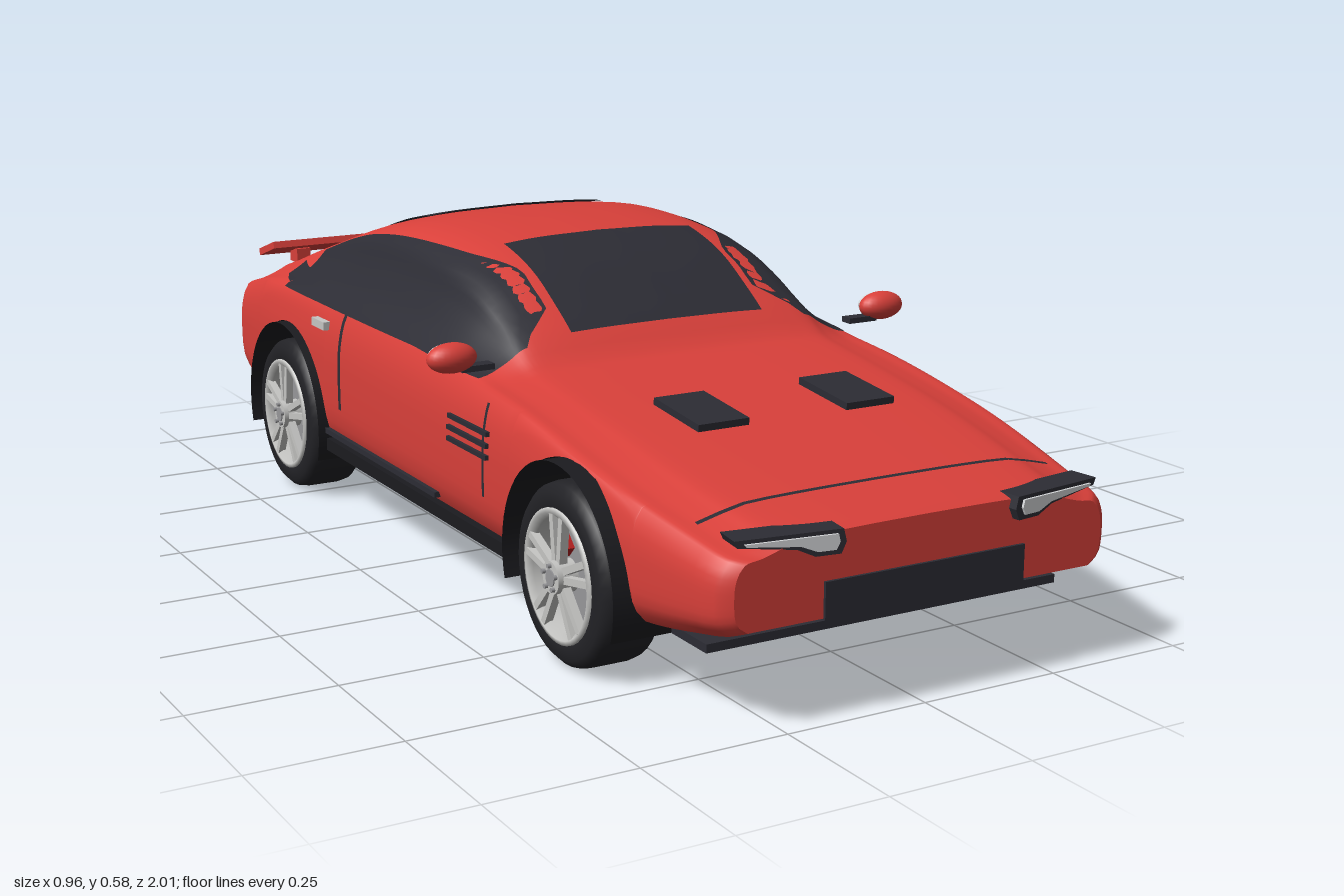
import * as THREE from 'three';

const mat = (name, color, side = THREE.FrontSide) => {
  const m = new THREE.MeshStandardMaterial({ color, side });
  m.name = name;
  return m;
};
const paint = mat('red paint', 0xd9403a), trim = mat('dark trim', 0x2c2c34, THREE.DoubleSide);
const rubber = mat('tyre rubber', 0x222226), under = mat('underbody black', 0x1b1b1f, THREE.DoubleSide);
const alloy = mat('alloy', 0xc6c6c4, THREE.DoubleSide), steel = mat('steel', 0x97979a);
const caliperRed = mat('caliper red', 0xb81f1f), lens = mat('clear lens', 0xd4d6d8);

// Smooth interpolation through [z, value] pairs, z ascending
function interp(t, z) {
  let i = 0;
  while (i < t.length - 2 && z > t[i + 1][0]) i++;
  const slope = (a, b) => (t[b][1] - t[a][1]) / (t[b][0] - t[a][0]);
  const d = t[i + 1][0] - t[i][0], u = Math.min(1, Math.max(0, (z - t[i][0]) / d));
  const m0 = slope(Math.max(0, i - 1), i + 1), m1 = slope(i, Math.min(t.length - 1, i + 2));
  const u2 = u * u, u3 = u2 * u;
  return (2 * u3 - 3 * u2 + 1) * t[i][1] + (u3 - 2 * u2 + u) * d * m0
    + (3 * u2 - 2 * u3) * t[i + 1][1] + (u3 - u2) * d * m1;
}
const TOP = [[-0.955, 0.385], [-0.9, 0.4], [-0.8, 0.43], [-0.6, 0.5], [-0.5, 0.535], [-0.4, 0.563], [-0.3, 0.58],
  [-0.2, 0.584], [-0.1, 0.58], [0, 0.567], [0.1, 0.535], [0.19, 0.482], [0.24, 0.447], [0.28, 0.412], [0.34, 0.4],
  [0.4, 0.392], [0.6, 0.365], [0.8, 0.333], [0.9, 0.317], [0.99, 0.304]];
const BELT = [[-0.955, 0.345], [-0.7, 0.395], [-0.4, 0.405], [0, 0.398], [0.2, 0.388], [0.4, 0.372], [0.6, 0.342], [0.8, 0.306], [0.99, 0.272]];
const WIDTH = [[-0.955, 0.368], [-0.7, 0.4], [-0.4, 0.405], [0.4, 0.405], [0.7, 0.4], [0.99, 0.362]];
const FLOOR = [[-0.955, 0.168], [-0.75, 0.13], [-0.4, 0.128], [0.4, 0.128], [0.77, 0.128], [0.99, 0.162]];
const ARCH = [-0.565, 0.595], ARCH_R = 0.187, AXLE_Y = 0.153, Z0 = -0.955, Z1 = 0.99;

// Half cross-section curve; parameter 0.4 is the belt line
function curveAt(z) {
  const w = interp(WIDTH, z), b = interp(BELT, z), f = interp(FLOOR, z), h = interp(TOP, z) - b;
  const low = [[0.93, 0], [0.985, 0.15], [1, 0.5], [0.99, 0.8]].map(p => [p[0], f + p[1] * (b - f)]);
  const high = [[0.95, 0], [0.863, 0.2], [0.775, 0.49], [0.71, 0.76], [0.6, 0.89], [0.375, 0.97], [0, 1]].map(p => [p[0], b + p[1] * h]);
  return new THREE.CatmullRomCurve3([...low, ...high].map(p => new THREE.Vector3(p[0] * w, p[1], z)));
}
function lookup(z, key, value, out) {
  const c = curveAt(z), pts = Array.from({ length: 81 }, (_, i) => c.getPoint(i / 80));
  if (key === 'x') pts.reverse();
  let i = 0;
  while (i < 79 && pts[i + 1][key] < value) i++;
  const a = pts[i], b = pts[i + 1], u = Math.min(1, Math.max(0, (value - a[key]) / (b[key] - a[key] || 1)));
  return a[out] + (b[out] - a[out]) * u;
}
const sideX = (y, z) => lookup(z, 'y', y, 'x');
const topY = (x, z) => lookup(z, 'x', Math.abs(x), 'y');

// Surface from rows of [x, y, z] points
function grid(rows) {
  const n = rows[0].length, idx = [];
  for (let r = 0; r < rows.length - 1; r++) for (let c = 0; c < n - 1; c++) {
    const a = r * n + c;
    idx.push(a, a + 1, a + n, a + 1, a + n + 1, a + n);
  }
  const g = new THREE.BufferGeometry();
  g.setAttribute('position', new THREE.Float32BufferAttribute(rows.flat(2), 3));
  g.setIndex(idx);
  g.computeVertexNormals();
  return g;
}
const range = (a, b, n) => Array.from({ length: n + 1 }, (_, i) => a + (b - a) * i / n);

// Half section clipped by the wheel arches and tucked in at both ends
function halfSection(z) {
  let f = interp(FLOOR, z);
  for (const c of ARCH) if (Math.abs(z - c) <= ARCH_R) f = Math.max(f, AXLE_Y + Math.sqrt(ARCH_R ** 2 - (z - c) ** 2));
  const b = interp(BELT, z), c = curveAt(z);
  const pts = range(Math.min(f, b - 0.004), b, 10).slice(0, -1).map(y => [sideX(y, z), y, z]);
  for (const t of range(0.4, 1, 24)) { const p = c.getPoint(t); pts.push([p.x, p.y, z]); }
  const e = Math.max(0, (Z0 + 0.035 - z) / 0.035, (z - Z1 + 0.035) / 0.035), s = 1 - 0.06 * e * e;
  return pts.map(([x, y]) => [x * s, 0.25 + (y - 0.25) * s, z]);
}

export function createModel() {
  const car = new THREE.Group();
  car.name = 'sportsCar';
  const add = (name, geo, m, x = 0, y = 0, z = 0, parent = car) => {
    const mesh = new THREE.Mesh(geo, m);
    mesh.name = name;
    mesh.position.set(x, y, z);
    parent.add(mesh);
    return mesh;
  };
  const box = (name, w, h, d, m, x, y, z, parent) => add(name, new THREE.BoxGeometry(w, h, d), m, x, y, z, parent);

  // Body shell, floor and end panels
  let zs = range(Z0, Z1, 90).filter(z => ARCH.every(c => Math.abs(z - c) > ARCH_R + 0.004));
  for (const c of ARCH) {
    for (const a of range(0, Math.PI, 32)) zs.push(c + ARCH_R * Math.cos(a));
    zs.push(c - ARCH_R - 0.0006, c + ARCH_R + 0.0006);
  }
  for (const d of [0.004, 0.009, 0.015]) zs.push(Z0 + d, Z1 - d);
  zs.sort((a, b) => a - b);
  const halves = zs.map(halfSection);
  const flip = ([x, y, z]) => [-x, y, z];
  add('bodyShell', grid(halves.map(h => [...h, ...h.slice(0, -1).reverse().map(flip)])), paint);
  add('floor', grid(halves.map(h => range(-1, 1, 4).map(u => [u * h[0][0], h[0][1], h[0][2]]))), under);
  add('nosePanel', grid(halves[halves.length - 1].map(p => [flip(p), p])), paint);
  add('tailPanel', grid(halves[0].map(p => [p, flip(p)])), paint);

  // Panels lying on the upper surface
  const topPatch = (name, x0, x1, z0, z1, m, lift = 0.004) => add(name, grid(range(z0, z1, 16).map(z =>
    range(x1, x0, 16).map(x => [x, topY(x, z) + lift, z]))), m);
  topPatch('windscreen', -0.195, 0.195, -0.02, 0.235, trim);
  topPatch('rearWindow', -0.195, 0.195, -0.7, -0.34, trim);
  topPatch('bonnetSeam', -0.33, 0.33, 0.864, 0.872, trim, 0.003);

  const WIN_TOP = [[-0.62, 0.468], [-0.5, 0.508], [-0.4, 0.532], [-0.25, 0.55], [-0.05, 0.552], [0.07, 0.537], [0.17, 0.488], [0.24, 0.435]];
  const lampShape = pts => new THREE.Shape(pts.map(p => new THREE.Vector2(...p)));
  const lampBody = lampShape([[-0.09, -0.008], [-0.082, -0.026], [-0.04, -0.026], [-0.01, -0.012], [0.085, 0.001], [0.09, 0.012], [-0.085, 0.012]]);
  const lampGlass = lampShape([[-0.078, -0.006], [-0.072, -0.018], [-0.042, -0.018], [-0.015, -0.007], [0.072, 0.002], [0.075, 0.006], [-0.075, 0.006]]);

  for (const s of [1, -1]) {
    const tag = s > 0 ? 'left' : 'right';
    const sidePatch = (name, z0, z1, lo, hi) => add(name, grid(range(z0, z1, 40).map(z => {
      const row = range(lo(z), hi(z), 12).map(y => [s * (sideX(y, z) + 0.004), y, z]);
      return s > 0 ? row : row.reverse();
    })), trim);
    const sideBox = (name, y, z, h, d, m, t = 0.012) => box(name, t, h, d, m, s * sideX(y, z), y, z);

    // Side glass, seams, vents and sill
    sidePatch(tag + 'SideWindow', -0.62, 0.24, z => 0.402 - 0.04 * Math.max(0, z), z => interp(WIN_TOP, z));
    sidePatch(tag + 'WindowTail', -0.7, -0.62, () => 0.41, () => 0.434);
    sidePatch(tag + 'DoorSeam', -0.302, -0.29, () => 0.22, () => 0.402);
    sidePatch(tag + 'WingSeam', 0.315, 0.323, () => 0.21, () => 0.37);
    for (const y of [0.28, 0.3, 0.32]) sideBox(tag + 'SideVent', y, 0.258, 0.008, 0.15, trim);
    sideBox(tag + 'DoorHandle', 0.369, -0.395, 0.016, 0.06, alloy, 0.024);
    box(tag + 'Sill', 0.03, 0.024, 0.82, under, s * 0.388, 0.132, 0);
    box(tag + 'SillStrip', 0.012, 0.01, 0.52, trim, s * 0.4, 0.16, -0.14);

    // Door mirror
    const mirror = new THREE.SphereGeometry(1, 24, 16);
    mirror.scale(0.045, 0.026, 0.026);
    add(tag + 'Mirror', mirror, paint, s * 0.437, 0.44, 0.265);
    box(tag + 'MirrorArm', 0.06, 0.01, 0.025, trim, s * 0.392, 0.419, 0.262);
    const glass = new THREE.SphereGeometry(1, 24, 12);
    glass.scale(0.035, 0.02, 0.008);
    add(tag + 'MirrorGlass', glass, lens, s * 0.437, 0.44, 0.243);

    // Bonnet vent
    const vent = box(tag + 'BonnetVent', 0.095, 0.012, 0.14, trim, s * 0.142, 0.382, 0.575);
    vent.rotation.x = 0.1;

    // Headlamp and tail lamp
    const lamp = new THREE.Group();
    lamp.name = tag + 'Headlamp';
    lamp.position.set(s * 0.243, 0.294, 0.972);
    lamp.scale.x = s;
    lamp.rotation.y = s * 0.14;
    car.add(lamp);
    add('housing', new THREE.ExtrudeGeometry(lampBody, { depth: 0.05, bevelEnabled: false }), trim, 0, 0, -0.03, lamp);
    add('glass', new THREE.ExtrudeGeometry(lampGlass, { depth: 0.006, bevelEnabled: false }), lens, 0, 0, 0.018, lamp);
    box(tag + 'TailLampHousing', 0.1, 0.034, 0.02, trim, s * 0.185, 0.335, -0.957);
    box(tag + 'TailLampLens', 0.075, 0.018, 0.006, caliperRed, s * 0.185, 0.335, -0.969);

    // Exhaust pipe
    const pipe = new THREE.LatheGeometry([[0.018, 0], [0.026, 0], [0.029, 0.075], [0.022, 0.075], [0.02, 0.02], [0, 0.02]]
      .map(p => new THREE.Vector2(...p)), 24);
    pipe.rotateX(-Math.PI / 2);
    add(tag + 'Exhaust', pipe, alloy, s * 0.215, 0.16, -0.925);
    add(tag + 'ExhaustBore', new THREE.CircleGeometry(0.019, 20).rotateY(Math.PI), under, s * 0.215, 0.16, -0.965);

    // Wheels
    for (const z of ARCH) {
      const wheel = new THREE.Group();
      wheel.name = tag + (z > 0 ? 'FrontWheel' : 'RearWheel');
      wheel.position.set(s * 0.358, AXLE_Y, z);
      if (s < 0) wheel.rotation.y = Math.PI;
      car.add(wheel);
      const lathe = (name, pts, m) => add(name, new THREE.LatheGeometry(pts.map(p => new THREE.Vector2(...p)), 40)
        .rotateZ(-Math.PI / 2), m, 0, 0, 0, wheel);
      const disc = (name, r, x, t, m) => add(name, new THREE.CylinderGeometry(r, r, t, 32).rotateZ(-Math.PI / 2), m, x, 0, 0, wheel);
      lathe('tyre', [[0.1, -0.05], [0.108, -0.057], [0.135, -0.057], [0.147, -0.045], [0.15, -0.03], [0.15, 0.03],
        [0.147, 0.045], [0.135, 0.057], [0.11, 0.057], [0.104, 0.05]], rubber);
      lathe('rim', [[0.11, 0.05], [0.11, 0.06], [0.102, 0.062], [0.094, 0.052], [0.092, -0.05], [0.104, -0.057]], alloy);
      disc('brakeDisc', 0.082, 0.01, 0.012, steel);
      disc('axle', 0.035, -0.02, 0.07, under);
      disc('hub', 0.027, 0.052, 0.036, alloy);
      disc('hubCap', 0.014, 0.066, 0.012, steel);
      for (let i = 0; i < 5; i++) {
        const arm = new THREE.Group();
        arm.name = 'spoke';
        arm.rotation.x = i * Math.PI * 0.4;
        wheel.add(arm);
        for (const k of [-1, 1]) box('spokeBar', 0.014, 0.084, 0.012, alloy, 0.054, 0.058, k * 0.011, arm).rotation.x = k * 0.12;
        const bolt = new THREE.CylinderGeometry(0.004, 0.004, 0.008, 8).rotateZ(Math.PI / 2);
        add('bolt', bolt, steel, 0.072, 0.02, 0, arm);
      }
      box('caliper', 0.034, 0.055, 0.026, caliperRed, 0.014, 0.045, s * Math.sign(z) * -0.048, wheel).rotation.x = s * Math.sign(z) * -0.8;
    }
  }

  // Wheel arch liners on the right
  for (const c of ARCH) add('archLiner', grid([-0.42, -0.21].map(x => range(-0.3, Math.PI + 0.3, 32)
    .map(a => [x, AXLE_Y + 0.185 * Math.sin(a), c + 0.185 * Math.cos(a)]))), under);

  // Front grille and splitter
  box('grille', 0.37, 0.06, 0.02, trim, 0, 0.195, 0.985);
  box('splitter', 0.66, 0.014, 0.1, trim, 0, 0.117, 0.85);
  box('splitterMount', 0.5, 0.03, 0.04, under, 0, 0.135, 0.83);

  // Rear spoiler, number plate and diffuser
  const spoiler = box('spoiler', 0.65, 0.014, 0.09, paint, 0, 0.43, -0.882);
  spoiler.rotation.x = -0.32;
  for (const x of [-0.25, 0.25]) box('spoilerMount', 0.03, 0.03, 0.04, paint, x, 0.412, -0.88);
  box('plate', 0.18, 0.05, 0.008, steel, 0, 0.245, -0.957);
  box('diffuser', 0.42, 0.012, 0.14, trim, 0, 0.128, -0.865);
  for (let i = -2; i <= 2; i++) box('diffuserFin', 0.006, 0.04, 0.13, trim, i * 0.0925, 0.108, -0.865);
  return car;
}
